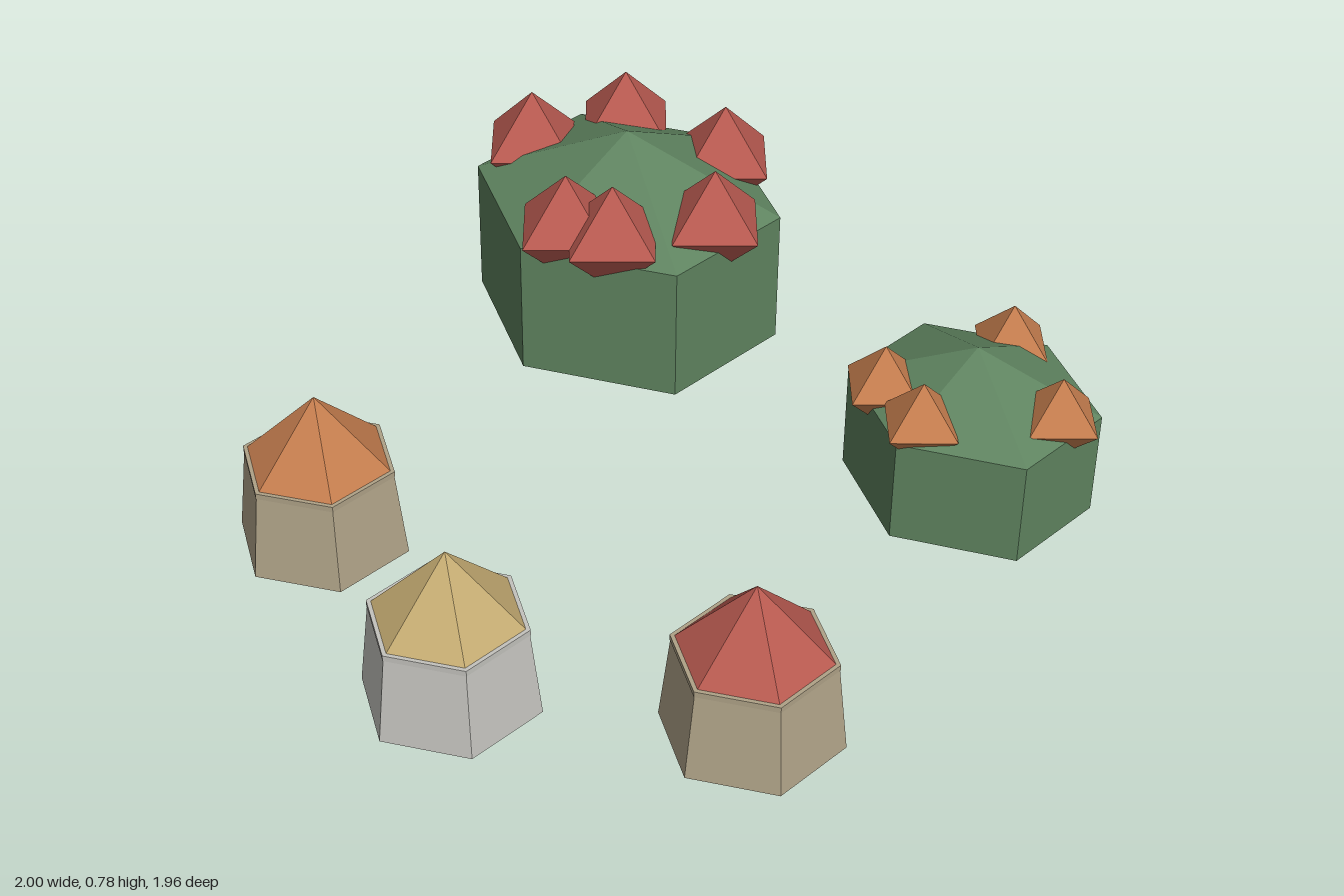
import * as THREE from 'three';

const paint = (name, hex) => {
  const m = new THREE.MeshStandardMaterial({ color: hex });
  m.name = name;
  return m;
};

// Give every face its own normal for a faceted look
const facet = (geometry) => {
  const g = geometry.index ? geometry.toNonIndexed() : geometry;
  g.computeVertexNormals();
  return g;
};

const part = (parent, name, geometry, material, x, y, z) => {
  const mesh = new THREE.Mesh(facet(geometry), material);
  mesh.name = name;
  mesh.position.set(x, y, z);
  parent.add(mesh);
  return mesh;
};

export function createModel() {
  const model = new THREE.Group();
  model.name = 'village';

  const green = paint('leafGreen', 0x5f8460);
  const red = paint('red', 0xb85a50);
  const orange = paint('orange', 0xc47d4e);
  const straw = paint('straw', 0xc4ab72);
  const clay = paint('clay', 0xb0a388);
  const stone = paint('stone', 0xc4c3be);

  // Six-sided bush with diamond blossoms around its shoulder
  const bush = (name, x, y, z, size, blossomMat, blossomSize, blossomY, blossoms) => {
    const group = new THREE.Group();
    group.name = name;
    model.add(group);
    const leaves = new THREE.SphereGeometry(1, 6, 3).rotateY(Math.PI / 2);
    leaves.scale(size, size * 0.75, size * 0.9);
    part(group, 'leaves', leaves, green, x, y, z);
    for (const [bx, bz] of blossoms) {
      part(group, 'blossom', new THREE.OctahedronGeometry(blossomSize), blossomMat, bx, blossomY, bz);
    }
  };

  bush('largeBush', -0.52, 0.387, -0.55, 0.513, red, 0.16, 0.62, [
    [-0.84, -0.5], [-0.737, -0.762], [-0.41, -0.82],
    [-0.202, -0.56], [-0.338, -0.314], [-0.463, -0.265],
  ]);
  bush('smallBush', 0.64, 0.31, -0.635, 0.387, orange, 0.12, 0.48, [
    [0.59, -0.845], [0.875, -0.68], [0.475, -0.475], [0.645, -0.42],
  ]);

  // Six-sided hut: tapered wall, thin eave and pointed roof
  const hut = (name, x, z, wallMat, roofMat) => {
    const group = new THREE.Group();
    group.name = name;
    model.add(group);
    part(group, 'wall', new THREE.CylinderGeometry(0.205, 0.233, 0.245, 6), wallMat, x, 0.1325, z);
    part(group, 'eave', new THREE.CylinderGeometry(0.207, 0.207, 0.016, 6), wallMat, x, 0.26, z);
    part(group, 'roof', new THREE.ConeGeometry(0.195, 0.197, 6), roofMat, x, 0.3665, z);
  };

  hut('orangeHut', -0.52, 0.57, clay, orange);
  hut('strawHut', 0.168, 0.742, stone, straw);
  hut('redHut', 0.77, 0.312, clay, red);

  return model;
}
